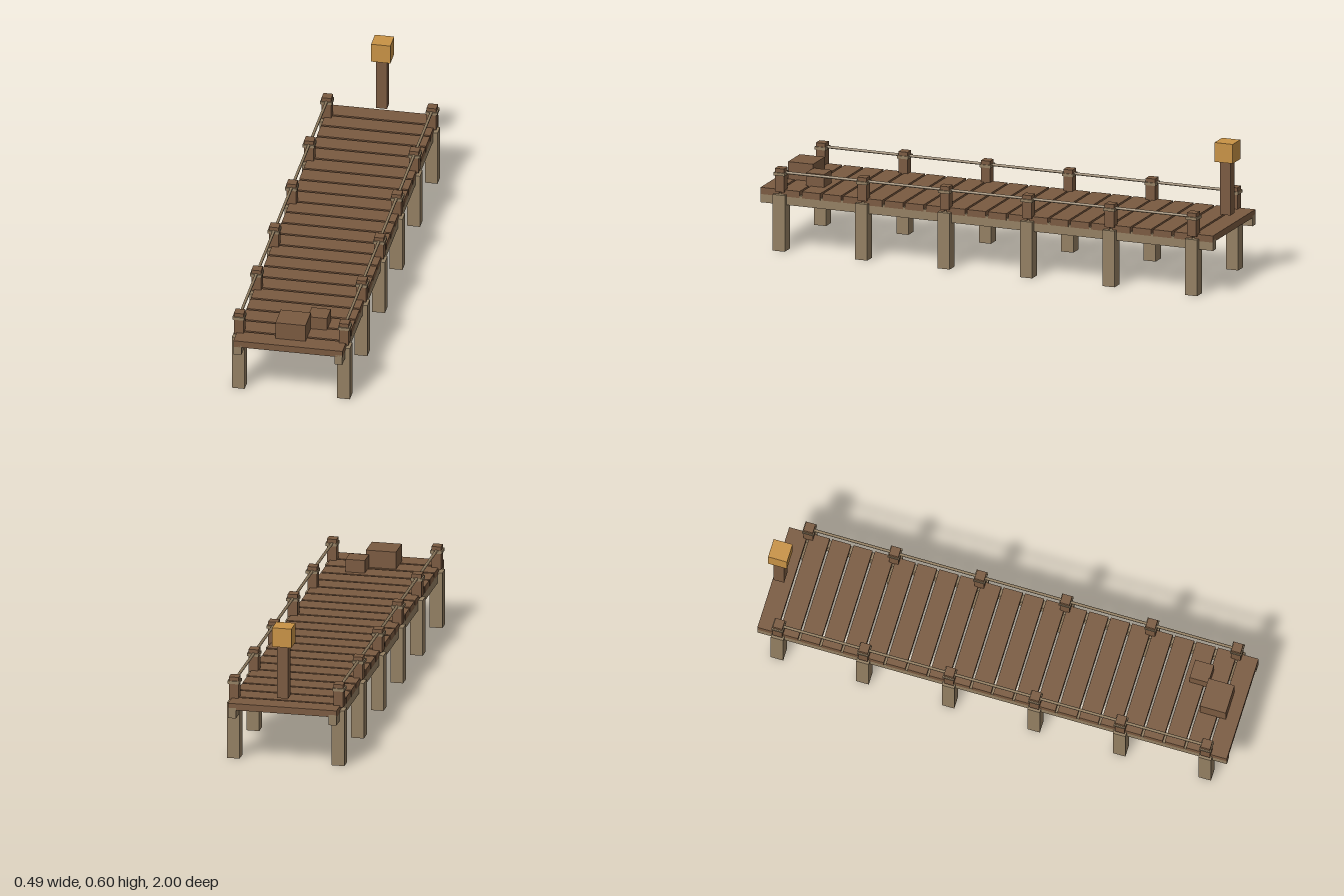
import * as THREE from 'three';

const material = (name, color) => {
  const m = new THREE.MeshStandardMaterial({ color });
  m.name = name;
  return m;
};

export function createModel() {
  const model = new THREE.Group();
  model.name = 'pier';
  const plankWood = material('plank brown', 0x7a5a40);
  const pileWood = material('weathered wood', 0x937f62);
  const lampGlow = material('lamp amber', 0xc89245);

  const add = (name, geometry, mat, x, y, z, parent = model) => {
    const mesh = new THREE.Mesh(geometry, mat);
    mesh.name = name;
    mesh.position.set(x, y, z);
    parent.add(mesh);
    return mesh;
  };
  const box = (w, h, d) => new THREE.BoxGeometry(w, h, d);

  // Deck: 22 cross planks with narrow gaps
  const deck = new THREE.Group();
  deck.name = 'deck';
  model.add(deck);
  const plank = box(0.452, 0.028, 0.081);
  for (let i = 0; i < 22; i++) {
    add('plank', plank, plankWood, 0, 0.241, 0.9595 - i * 0.0909, deck);
  }

  // Each side: beam, piles, railing posts with bands, and a rope
  const pile = box(0.053, 0.236, 0.053);
  const post = box(0.04, 0.098, 0.04);
  const band = box(0.049, 0.012, 0.049);
  for (const side of [-1, 1]) {
    const group = new THREE.Group();
    group.name = side > 0 ? 'leftSide' : 'rightSide';
    model.add(group);
    add('beam', box(0.032, 0.044, 1.99), pileWood, side * 0.209, 0.214, 0.005, group);
    for (let i = 0; i < 6; i++) {
      const z = 0.912 - i * 0.3627;
      add('pile', pile, pileWood, side * 0.218, 0.118, z, group);
      add('railPost', post, plankWood, side * 0.2175, 0.296, z, group);
      add('ropeBand', band, pileWood, side * 0.2185, 0.3225, z, group);
    }
    const rope = new THREE.CylinderGeometry(0.006, 0.006, 1.815, 6);
    rope.rotateX(Math.PI / 2);
    add('rope', rope, pileWood, side * 0.2175, 0.326, 0.005, group);
  }

  // Two crates near the front end
  add('largeCrate', box(0.125, 0.08, 0.11), plankWood, 0, 0.288, 0.892);
  add('smallCrate', box(0.08, 0.06, 0.08), plankWood, 0.09, 0.279, 0.8);

  // Lamp at the far end, its post held just above the deck
  add('lampPost', box(0.045, 0.225, 0.045), plankWood, 0, 0.4025, -0.96);
  add('lamp', box(0.08, 0.081, 0.08), lampGlow, 0, 0.5545, -0.96);

  return model;
}
